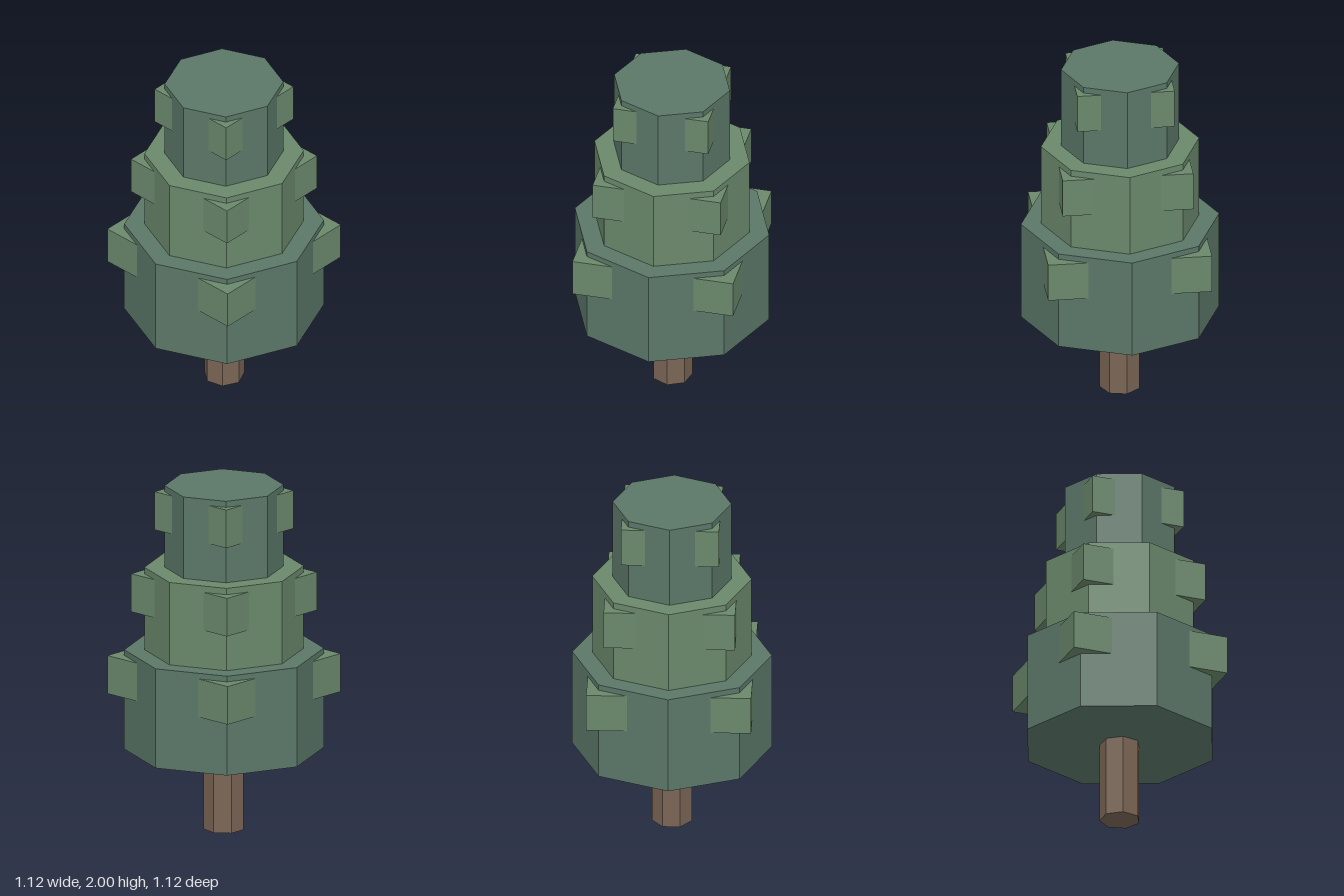
import * as THREE from 'three';

export function createModel() {
  const group = new THREE.Group();
  const paint = (color) => new THREE.MeshStandardMaterial({ color, flatShading: true });
  const bark = paint(0x7a6555);
  const darkLeaf = paint(0x5b7768);
  const lightLeaf = paint(0x6a886b);

  const add = (name, geometry, material, bottom, top) => {
    const mesh = new THREE.Mesh(geometry, material);
    mesh.name = name;
    mesh.position.y = (bottom + top) / 2;
    group.add(mesh);
  };

  // Seven-sided trunk with a corner on +x
  add('trunk', new THREE.CylinderGeometry(0.115, 0.115, 0.466, 7, 1, false, Math.PI / 2), bark, 0, 0.466);

  // Stacked octagonal tiers, each with a square slab whose corners poke out
  const tiers = [
    { name: 'lower', radius: 0.56, bottom: 0.466, top: 1.045, leaf: darkLeaf, half: 0.463, slab: [0.79, 1.012] },
    { name: 'middle', radius: 0.447, bottom: 1.045, top: 1.525, leaf: lightLeaf, half: 0.369, slab: [1.266, 1.488] },
    { name: 'upper', radius: 0.333, bottom: 1.525, top: 2, leaf: darkLeaf, half: 0.275, slab: [1.743, 1.965] },
  ];
  for (const { name, radius, bottom, top, leaf, half, slab } of tiers) {
    add(`${name}Foliage`, new THREE.CylinderGeometry(radius, radius, top - bottom, 8), leaf, bottom, top);
    add(`${name}LeafCorners`, new THREE.BoxGeometry(half * 2, slab[1] - slab[0], half * 2), lightLeaf, ...slab);
  }
  return group;
}
